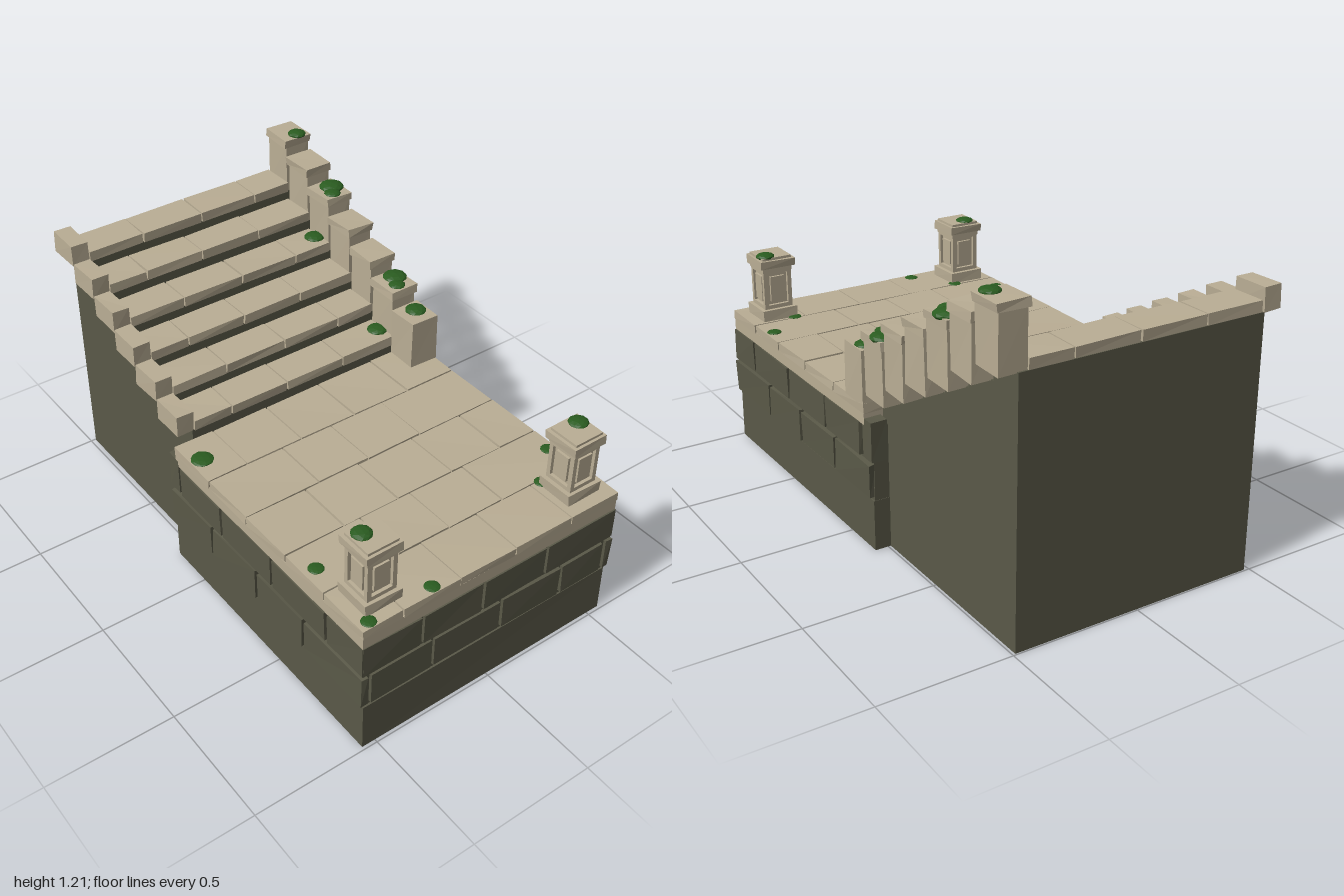
import * as THREE from 'three';

const mat = (name, color) => {
  const m = new THREE.MeshStandardMaterial({ color, flatShading: true });
  m.name = name;
  return m;
};

export function createModel() {
  const root = new THREE.Group();
  root.name = 'stoneStairTerrace';
  const pale = mat('paleStone', 0xbaae95);
  const dark = mat('darkStone', 0x5a5948);
  const moss = mat('mossGreen', 0x2a5c20);

  const group = (name) => {
    const g = new THREE.Group();
    g.name = name;
    root.add(g);
    return g;
  };
  // small repeatable offset from a position
  const wobble = (x, y, z, k) => {
    const s = Math.sin(x * 127.1 + y * 311.7 + z * 74.7 + k * 53.3) * 43758.5;
    return s - Math.floor(s) - 0.5;
  };
  // block given by its min and max corners, with slightly worn corners
  const block = (parent, name, m, x0, x1, y0, y1, z0, z1, worn = 0) => {
    const g = new THREE.BoxGeometry(x1 - x0, y1 - y0, z1 - z0);
    g.translate((x0 + x1) / 2, (y0 + y1) / 2, (z0 + z1) / 2);
    const p = g.attributes.position;
    for (let i = 0; i < p.count && worn; i++) {
      const v = [p.getX(i), p.getY(i), p.getZ(i)].map((c) => Math.round(c * 1e4) / 1e4);
      p.setXYZ(i, ...v.map((c, k) => c + wobble(...v, k) * worn));
    }
    g.computeVertexNormals();
    const mesh = new THREE.Mesh(g, m);
    mesh.name = name;
    parent.add(mesh);
  };

  // terrace body
  const terrace = group('terraceBase');
  block(terrace, 'foundation', dark, -0.18, 0.98, 0, 0.49, -0.549, 0.549);
  block(terrace, 'plinth', dark, -0.18, 0.987, 0, 0.2, -0.555, 0.555, 0.004);

  // brick courses on front, back and right end
  const bricks = group('wallBricks');
  const lower = [0.215, 0.343], upper = [0.357, 0.485];
  const longRows = [[lower, [-0.185, 0.095, 0.38, 0.665, 0.996]], [upper, [-0.115, 0.165, 0.478, 0.795, 0.992]]];
  const endRows = [[lower, [-0.53, -0.32, -0.04, 0.265, 0.535]], [upper, [-0.566, -0.235, 0.052, 0.315, 0.566]]];
  const gap = 0.007;
  for (const [[y0, y1], xs] of longRows)
    for (let i = 0; i < xs.length - 1; i++) {
      const a = xs[i] + gap, b = xs[i + 1] - (i < xs.length - 2 ? gap : 0.003);
      block(bricks, 'frontBrick', dark, a, b, y0, y1, 0.54, 0.568, 0.005);
      block(bricks, 'backBrick', dark, a, b, y0, y1, -0.568, -0.54, 0.005);
    }
  for (const [[y0, y1], zs] of endRows)
    for (let i = 0; i < zs.length - 1; i++)
      block(bricks, 'endBrick', dark, 0.96, 0.993, y0, y1, zs[i] + gap, zs[i + 1] - gap, 0.005);
  for (const z of [-0.53, 0.53])
    block(bricks, 'junctionQuoin', dark, -0.19, -0.125, 0.357, 0.51, z - 0.033, z + 0.033, 0.004);

  // paving slab and staggered tiles
  const paving = group('terracePaving');
  block(paving, 'slab', pale, -0.14, 0.988, 0.485, 0.534, -0.563, 0.563);
  block(paving, 'mortar', dark, -0.135, 0.98, 0.534, 0.54, -0.555, 0.555);
  const tileX = [-0.143, 0.093, 0.328, 0.56, 0.778, 0.992];
  const jointsA = [-0.567, -0.34, -0.085, 0.16, 0.4, 0.567];
  const jointsB = [-0.567, -0.395, -0.165, 0.08, 0.315, 0.567];
  const jointsC = [-0.567, -0.21, 0.03, 0.25, 0.567];
  [jointsA, jointsC, jointsB, jointsC, jointsA].forEach((zs, i) => {
    for (let j = 0; j < zs.length - 1; j++)
      block(paving, 'tile', pale, tileX[i] + 0.003, tileX[i + 1] - 0.003, 0.53, 0.566,
        zs[j] + 0.003, zs[j + 1] - 0.003, 0.004);
  });

  // stairs with low curb in front and tall posts at the back
  const stairs = group('stairs');
  const run = 0.1425, rise = 0.0735;
  const profile = new THREE.Shape();
  profile.moveTo(-0.14, 0).lineTo(-0.995, 0);
  for (let i = 0; i < 6; i++) {
    const x0 = -0.995 + i * run, x1 = x0 + run;
    const top = 1.01 - i * rise, bed = top - 0.04;
    profile.lineTo(i ? x0 - 0.008 : x0, bed).lineTo(x1 - 0.008, bed);
    const zs = i % 2 ? [-0.455, -0.205, 0.06, 0.31, 0.475] : [-0.455, -0.285, -0.03, 0.237, 0.475];
    for (let j = 0; j < 4; j++)
      block(stairs, 'tread', pale, x0 + 0.001, x1, bed, top, zs[j] + 0.003, zs[j + 1] - 0.003, 0.004);
    block(stairs, 'frontCurb', pale, x0 - 0.002, x1 - 0.004, bed, bed + 0.087, 0.474, 0.544, 0.005);
    const h = 1.2 - i * 0.0715;
    block(stairs, 'backPost', pale, x0 + 0.006, x1 - 0.008, bed - 0.003, h - 0.03, -0.557, -0.453, 0.005);
    block(stairs, 'postCap', pale, x0, x1 - 0.003, h - 0.033, h, -0.565, -0.444, 0.006);
  }
  const coreGeo = new THREE.ExtrudeGeometry(profile, { depth: 0.97, bevelEnabled: false });
  const core = new THREE.Mesh(coreGeo.translate(0, 0, -0.49), dark);
  core.name = 'stairCore';
  stairs.add(core);
  block(stairs, 'endPost', pale, -0.142, -0.012, 0.56, 0.766, -0.565, -0.445, 0.006);

  // panelled corner pillars
  for (const cz of [-0.443, 0.443]) {
    const pillar = group(cz > 0 ? 'frontPillar' : 'backPillar');
    pillar.position.set(0.868, 0, cz);
    const box = (name, r, y0, y1, worn = 0) => block(pillar, name, pale, -r, r, y0, y1, -r, r, worn);
    box('pillarFoot', 0.074, 0.562, 0.61, 0.006);
    box('pillarCore', 0.047, 0.61, 0.78);
    box('pillarNeck', 0.063, 0.765, 0.785);
    box('pillarCap', 0.073, 0.781, 0.815, 0.005);
    box('pillarCapTop', 0.062, 0.815, 0.825);
    for (let k = 0; k < 4; k++) {
      const side = new THREE.Group();
      side.name = 'pillarSide';
      side.rotation.y = (k * Math.PI) / 2;
      pillar.add(side);
      block(side, 'cornerPost', pale, 0.043, 0.06, 0.61, 0.77, 0.043, 0.06);
      block(side, 'lowerRail', pale, -0.043, 0.043, 0.61, 0.626, 0.04, 0.06);
      block(side, 'upperRail', pale, -0.043, 0.043, 0.757, 0.77, 0.04, 0.06);
      block(side, 'raisedPanel', pale, -0.03, 0.03, 0.64, 0.743, 0.04, 0.057);
    }
  }

  // moss clumps: x, surface height, z, radius
  const clumps = group('moss');
  [
    [-0.885, 1.2, -0.52, 0.037], [-0.655, 1.057, -0.527, 0.05], [-0.608, 1.057, -0.497, 0.034],
    [-0.64, 0.863, -0.43, 0.042], [-0.235, 0.842, -0.527, 0.05], [-0.185, 0.842, -0.498, 0.034],
    [-0.215, 0.642, -0.43, 0.042], [-0.092, 0.766, -0.52, 0.043], [0.67, 0.566, -0.53, 0.029],
    [0.84, 0.825, -0.477, 0.038], [0.79, 0.566, -0.385, 0.028], [0.79, 0.566, 0.38, 0.028],
    [0.842, 0.825, 0.463, 0.038], [0.96, 0.566, 0.26, 0.029], [0.96, 0.566, 0.52, 0.028],
    [0.67, 0.566, 0.515, 0.029], [-0.025, 0.566, 0.517, 0.044],
  ].forEach(([x, y, z, r], i) => {
    const m = new THREE.Mesh(new THREE.IcosahedronGeometry(r, 1), moss);
    m.name = 'mossClump';
    m.position.set(x, y, z);
    m.scale.y = y < 0.6 ? 0.22 : 0.36;
    m.rotation.y = i * 1.3;
    clumps.add(m);
  });

  return root;
}
